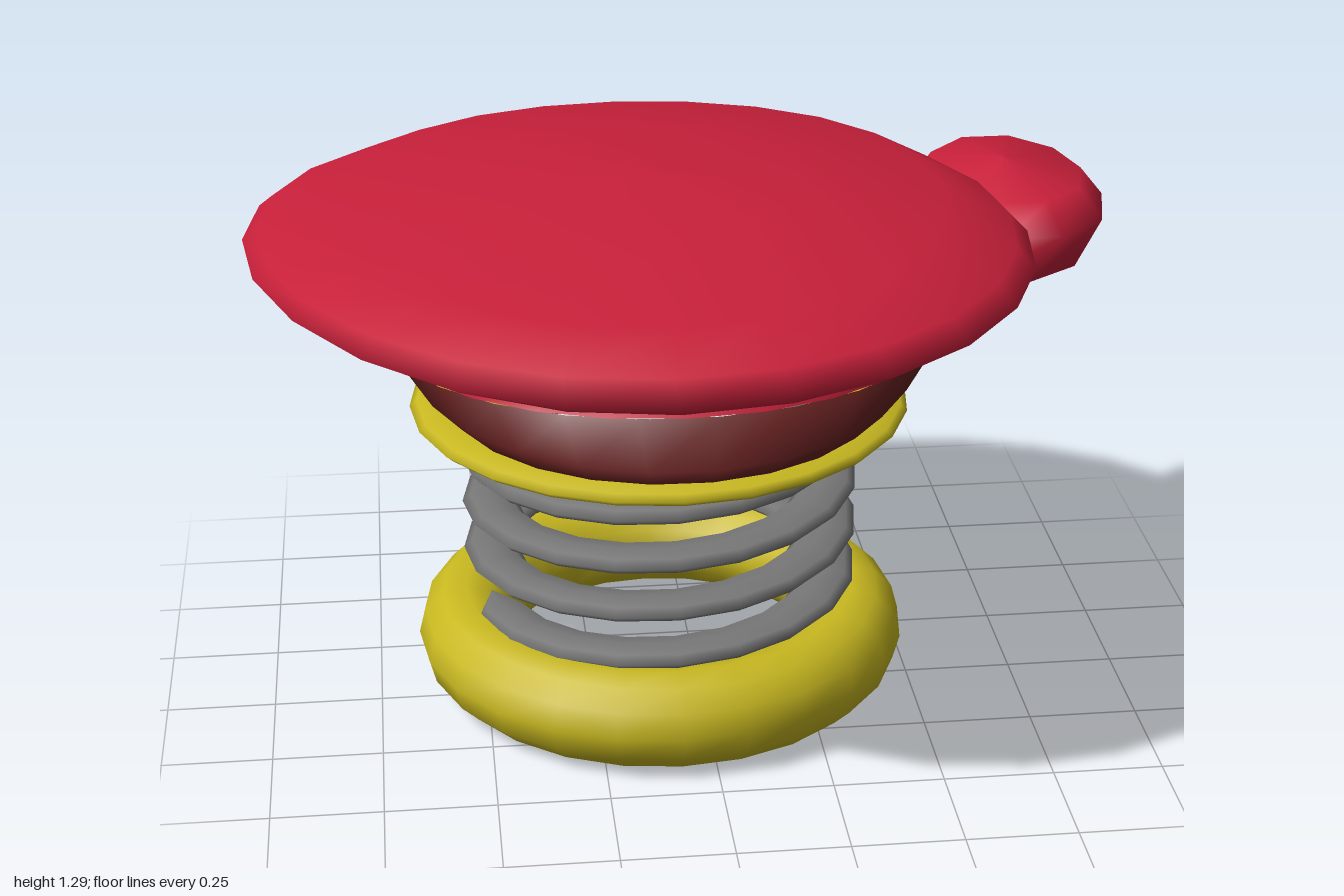
import * as THREE from 'three';

const CX = -0.08, CZ = -0.11; // axis of the spring
const mat = (color) => new THREE.MeshStandardMaterial({ color });
const RED = mat(0xc8203a), MAROON = mat(0x6a2222), BLACK = mat(0x0c0c0c);
const YELLOW = mat(0xc8b820), GREY = mat(0x777777);

// Skin over oval rings listed bottom to top.
// Each ring: [+x, its y, -x, its y, +z, its y, -z, its y]
function loft(rings, segs, from = 0, to = 360) {
  const full = to - from === 360, cols = full ? segs : segs + 1;
  const pos = [], idx = [];
  for (const [xl, yl, xr, yr, zf, yf, zb, yb] of rings) {
    for (let i = 0; i < cols; i++) {
      const t = THREE.MathUtils.degToRad(from + ((to - from) * i) / segs);
      const c = Math.cos(t), s = Math.sin(t);
      pos.push(
        (xl + xr) / 2 + ((xl - xr) / 2) * c,
        (c > 0 ? yl : yr) * c * c + (s > 0 ? yf : yb) * s * s,
        (zf + zb) / 2 + ((zf - zb) / 2) * s);
    }
  }
  for (let j = 0; j < rings.length - 1; j++) {
    for (let i = 0; i < segs; i++) {
      const a = j * cols + i, b = j * cols + ((i + 1) % cols);
      idx.push(a, a + cols, b, b, a + cols, b + cols);
    }
  }
  const g = new THREE.BufferGeometry();
  g.setAttribute('position', new THREE.Float32BufferAttribute(pos, 3));
  g.setIndex(idx);
  g.computeVertexNormals();
  return g;
}

// Flat coil: an oval section swept along a helix
function coil(radius, halfWidth, halfHeight, y0, pitch, t0, t1) {
  const steps = 80, sides = 8, pos = [], idx = [];
  for (let i = 0; i <= steps; i++) {
    const t = t0 + ((t1 - t0) * i) / steps;
    const taper = i === 0 || i === steps ? 0.01 : 1; // closed ends
    for (let k = 0; k < sides; k++) {
      const a = (k / sides) * Math.PI * 2;
      const r = radius + halfWidth * Math.cos(a) * taper;
      pos.push(r * Math.sin(t), y0 + (pitch * t) / (Math.PI * 2) + halfHeight * Math.sin(a) * taper, r * Math.cos(t));
      if (i < steps) {
        const p = i * sides + k, q = i * sides + ((k + 1) % sides);
        idx.push(p, p + sides, q, q, p + sides, q + sides);
      }
    }
  }
  const g = new THREE.BufferGeometry();
  g.setAttribute('position', new THREE.Float32BufferAttribute(pos, 3));
  g.setIndex(idx);
  g.computeVertexNormals();
  return g;
}

export function createModel() {
  const model = new THREE.Group();
  const add = (name, geometry, material, x = 0, y = 0, z = 0) => {
    const mesh = new THREE.Mesh(geometry, material);
    mesh.name = name;
    mesh.position.set(x, y, z);
    model.add(mesh);
    return mesh;
  };

  // Base ring and the thin ring under the cuff
  const ring = new THREE.TorusGeometry(0.46, 0.115, 12, 24).rotateX(Math.PI / 2);
  add('baseRing', ring, YELLOW, CX, 0.115, CZ);
  add('topRing', ring, YELLOW, CX, 0.702, CZ).scale.y = 0.24;

  // Spring
  add('spring', coil(0.4, 0.062, 0.024, 0.245, 0.12, -Math.PI / 2, Math.PI * 7.5), GREY, CX, 0, CZ);

  // Cuff with a dark panel at the back right
  const cuff = [
    [0.43, 0.73, -0.57, 0.73, 0.43, 0.73, -0.58, 0.73],
    [0.5, 0.8, -0.64, 0.8, 0.48, 0.78, -0.65, 0.78],
    [0.58, 0.87, -0.71, 0.87, 0.4, 0.87, -0.69, 0.87],
  ];
  add('cuff', loft(cuff, 22, -113, 220), MAROON);
  add('cuffPanel', loft(cuff, 2, 220, 247), BLACK);
  add('cuffFloor', loft([[CX, 0.73, CX, 0.73, CZ, 0.73, CZ, 0.73], cuff[0]], 24), MAROON);

  // Padded body: neck, front overhang, rim and shallow dome
  add('body', loft([
    cuff[2],
    [0.61, 0.9, -0.74, 0.9, 0.37, 0.91, -0.66, 0.89],
    [0.7, 0.97, -0.84, 0.98, 0.35, 0.96, -0.82, 0.945],
    [0.74, 1.02, -0.92, 1.06, 0.35, 1.01, -0.89, 1.0],
    [0.75, 1.05, -0.96, 1.1, 0.42, 1.045, -0.9, 1.02],
    [0.75, 1.07, -0.98, 1.12, 0.6, 1.03, -0.9, 1.04],
    [0.75, 1.09, -0.99, 1.14, 0.8, 1.06, -0.89, 1.06],
    [0.74, 1.12, -1.0, 1.17, 0.9, 1.11, -0.87, 1.09],
    [0.7, 1.16, -0.97, 1.19, 0.85, 1.16, -0.84, 1.14],
    [0.55, 1.23, -0.8, 1.235, 0.72, 1.21, -0.77, 1.2],
    [0.22, 1.28, -0.45, 1.28, 0.38, 1.27, -0.38, 1.27],
    [-0.1, 1.29, -0.1, 1.29, 0, 1.29, 0, 1.29],
  ], 24), RED);

  // Thumb on the left side
  add('thumb', loft([
    [0.5, 0.83, 0.3, 0.83, -0.15, 0.83, -0.5, 0.83],
    [0.72, 0.88, 0.35, 0.86, -0.1, 0.88, -0.55, 0.9],
    [0.95, 0.95, 0.45, 0.92, -0.07, 0.96, -0.6, 1.0],
    [1.0, 1.07, 0.54, 1.05, -0.03, 1.08, -0.66, 1.1],
    [0.95, 1.13, 0.58, 1.13, -0.13, 1.13, -0.6, 1.14],
    [0.76, 1.17, 0.76, 1.17, -0.35, 1.17, -0.35, 1.17],
  ], 10), RED);

  return model;
}
